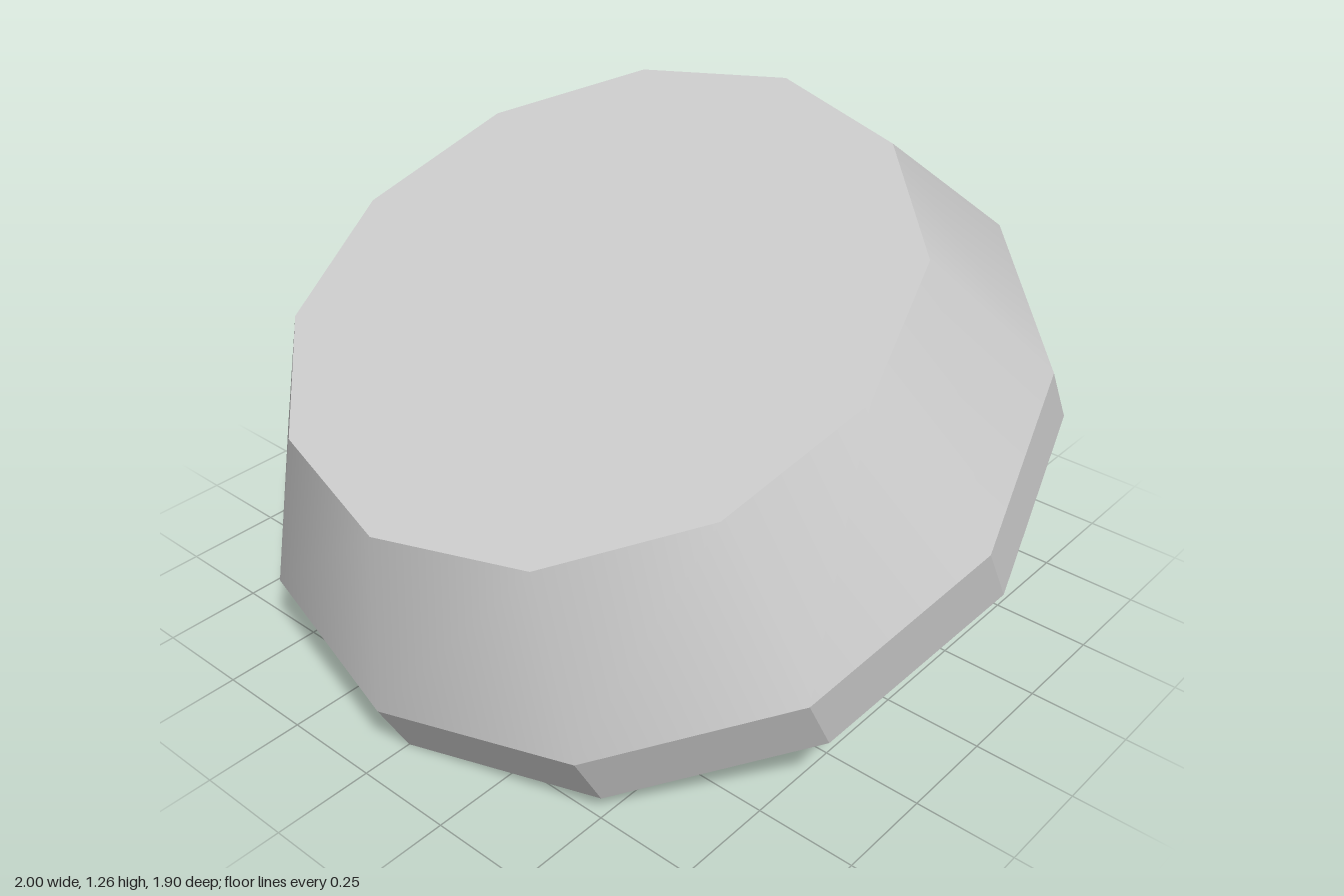
import * as THREE from 'three';

const SIDES = 12;
const BAND_H = 0.171; // height of the rim band along the tilted axis
const WALL_H = 0.412; // height of the sloping wall

// Open frustum from y0 upwards; its centre slides in z from z0 to z1
function ring(rBottom, rTop, y0, height, z0, z1) {
  const g = new THREE.CylinderGeometry(rTop, rBottom, height, SIDES, 1, true);
  g.translate(0, y0 + height / 2, 0);
  const p = g.attributes.position;
  for (let i = 0; i < p.count; i++) {
    const t = (p.getY(i) - y0) / height;
    p.setZ(i, p.getZ(i) + z0 + (z1 - z0) * t);
  }
  return g;
}

export function createModel() {
  const grey = new THREE.MeshStandardMaterial({ color: 0xcccccc, side: THREE.DoubleSide });
  grey.name = 'grey';

  const bowl = new THREE.Group();
  bowl.name = 'tiltedBowl';
  const add = (name, geometry) => {
    const mesh = new THREE.Mesh(geometry, grey);
    mesh.name = name;
    bowl.add(mesh);
    return mesh;
  };

  // Faceted band around the open rim
  const band = ring(1, 1, 0, BAND_H, 0, 0.011).toNonIndexed();
  band.computeVertexNormals();
  add('rimBand', band);

  // Smoothly shaded sloping wall
  add('slopingWall', ring(1, 0.78, BAND_H, WALL_H, 0.011, 0.014));

  // Flat closed end, with a corner towards the front
  const cap = new THREE.CircleGeometry(0.78, SIDES);
  cap.rotateX(-Math.PI / 2);
  add('flatCap', cap).position.set(0, BAND_H + WALL_H, 0.014);

  // Tip forward so the front of the rim touches the ground
  bowl.rotation.x = Math.atan2(0.83, 1.82);
  bowl.position.set(0, 0.416, -0.04);

  const model = new THREE.Group();
  model.name = 'model';
  model.add(bowl);
  return model;
}
